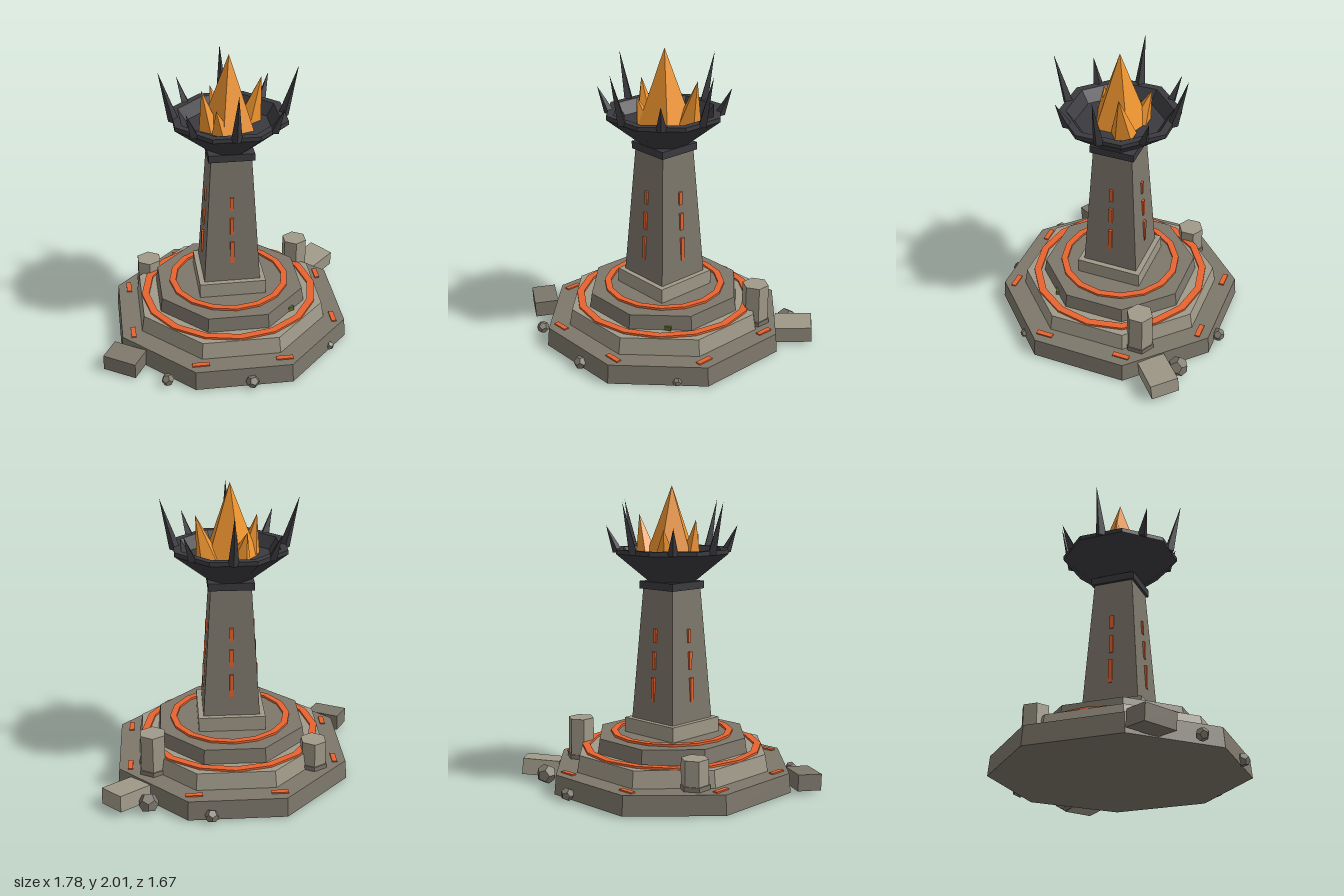
import * as THREE from 'three';

const material = (color) => new THREE.MeshStandardMaterial({ color, flatShading: true });

export function createModel() {
  const model = new THREE.Group();
  const stone = material(0x7d776b), paleStone = material(0xa09a89);
  const iron = material(0x3b3a3f), glow = material(0xe8632f);
  const fire = material(0xf0952f), moss = material(0x5f6b32);

  const add = (name, geometry, mat, x = 0, y = 0, z = 0) => {
    const mesh = new THREE.Mesh(geometry, mat);
    mesh.name = name;
    mesh.position.set(x, y, z);
    model.add(mesh);
    return mesh;
  };

  // Regular prism with flat sides facing the axes; sizes are half-widths
  const prism = (name, sides, bottom, top, y0, y1, mat) => {
    const k = 1 / Math.cos(Math.PI / sides);
    const geo = new THREE.CylinderGeometry(top * k, bottom * k, y1 - y0, sides);
    geo.rotateY(Math.PI / sides);
    return add(name, geo, mat, 0.01, (y0 + y1) / 2, 0);
  };

  // Stepped octagonal base
  prism('lowerTier', 8, 0.776, 0.765, 0, 0.13, stone);
  prism('middleTier', 8, 0.63, 0.612, 0.13, 0.242, paleStone);
  prism('upperTier', 8, 0.495, 0.482, 0.242, 0.34, stone);

  // Glowing sixteen-sided rings on the tiers
  const ring = (name, outer, inner, y0, y1) => {
    const profile = [[outer, y0], [outer, y1], [inner, y1], [inner, y0], [outer, y0]];
    add(name, new THREE.LatheGeometry(profile.map((p) => new THREE.Vector2(...p)), 16), glow, 0.01);
  };
  ring('middleRing', 0.61, 0.56, 0.235, 0.256);
  ring('upperRing', 0.414, 0.37, 0.333, 0.355);

  // Glowing dashes on the lower tier, two per main side
  for (const a of [-1, 1]) {
    for (const b of [-1, 1]) {
      add('baseDash', new THREE.BoxGeometry(0.112, 0.02, 0.034), glow, 0.01 + a * 0.277, 0.129, b * 0.69);
      add('baseDash', new THREE.BoxGeometry(0.034, 0.02, 0.112), glow, 0.01 + a * 0.69, 0.129, b * 0.277);
    }
  }

  // Square plinth, tapering tower and iron collar
  prism('plinth', 4, 0.225, 0.225, 0.34, 0.44, paleStone);
  prism('tower', 4, 0.19, 0.135, 0.44, 1.32, stone);
  prism('collar', 4, 0.152, 0.152, 1.32, 1.37, iron);

  // Glowing slits on the four tower faces
  const slits = [[0.575, 0.735], [0.79, 0.91], [0.97, 1.06]];
  for (let side = 0; side < 4; side++) {
    for (const [y0, y1] of slits) {
      const y = (y0 + y1) / 2;
      const d = 0.19 - 0.0625 * (y - 0.44);
      const angle = side * Math.PI / 2;
      const slit = add('towerSlit', new THREE.BoxGeometry(0.026, y1 - y0, 0.022), glow,
        0.01 + d * Math.sin(angle), y, d * Math.cos(angle));
      slit.rotation.y = angle;
    }
  }

  // Hollow octagonal fire bowl
  const bowlProfile = [[0, 1.37], [0.16, 1.37], [0.395, 1.56], [0.395, 1.588],
    [0.345, 1.588], [0.29, 1.51], [0, 1.51]].map((p) => new THREE.Vector2(...p));
  add('fireBowl', new THREE.LatheGeometry(bowlProfile, 8).rotateY(Math.PI / 8), iron, 0.01);

  // Four-sided cone standing on y = 0 whose tip is shifted sideways
  const leaningCone = (radius, height, sides, leanX, leanZ = 0) => {
    const geo = new THREE.ConeGeometry(radius, height, sides).translate(0, height / 2, 0);
    const p = geo.attributes.position;
    for (let i = 0; i < p.count; i++) {
      const t = p.getY(i) / height;
      p.setX(i, p.getX(i) + leanX * t);
      p.setZ(i, p.getZ(i) + leanZ * t);
    }
    return geo;
  };

  // Crown of spikes, alternating tall and short
  for (let i = 0; i < 8; i++) {
    const angle = i * Math.PI / 4;
    const geo = leaningCone(0.037, i % 2 ? 0.18 : 0.34, 4, i % 2 ? 0.08 : 0.095);
    const spike = add('spike', geo, iron, 0.01 + 0.355 * Math.cos(angle), 1.56, -0.355 * Math.sin(angle));
    spike.rotation.y = angle;
  }

  // Fire: a tall central flame with smaller leaning shards around it
  add('mainFlame', new THREE.ConeGeometry(0.185, 0.49, 5).rotateY(-Math.PI / 2), fire, 0.01, 1.755, 0);
  const shards = [ // x, z, radius, tip height, lean x, lean z
    [-0.12, 0.04, 0.075, 1.78, -0.05, 0.0],
    [0.15, -0.08, 0.085, 1.81, 0.085, -0.0],
    [-0.04, -0.11, 0.08, 1.72, -0.05, -0.07],
    [-0.05, 0.11, 0.07, 1.68, -0.04, 0.04],
  ];
  for (const [x, z, r, top, lx, lz] of shards) {
    add('flameShard', leaningCone(r, top - 1.51, 5, lx, lz), fire, x, 1.51, z);
  }

  // Broken hexagonal pillars at the back corners
  for (const [x, top] of [[-0.525, 0.325], [0.545, 0.41]]) {
    add('pillarFoot', new THREE.CylinderGeometry(0.1, 0.1, 0.03, 6), stone, x, 0.145, -0.35);
    add('brokenPillar', new THREE.CylinderGeometry(0.09, 0.092, top - 0.13, 6), paleStone, x, (top + 0.13) / 2, -0.35);
  }

  // Fallen blocks
  const backBlock = add('fallenBlock', new THREE.BoxGeometry(0.25, 0.11, 0.19), paleStone, 0.725, 0.073, -0.55);
  backBlock.rotation.set(0.08, 0.72, 0.08, 'YXZ');
  const frontBlock = add('fallenBlock', new THREE.BoxGeometry(0.235, 0.11, 0.165), stone, -0.75, 0.062, 0.475);
  frontBlock.rotation.set(0.04, -0.53, -0.03, 'YXZ');

  // Scattered rubble
  const rubble = [ // x, z, radius
    [0.58, -0.64, 0.068], [0.18, -0.795, 0.045], [-0.485, 0.69, 0.042],
    [0.06, 0.785, 0.045], [0.645, 0.46, 0.03],
  ];
  rubble.forEach(([x, z, r], i) => {
    const rock = add('rubble', new THREE.DodecahedronGeometry(r), stone, x, r * 0.85, z);
    rock.rotation.set(i * 0.9, i * 1.7, i * 0.6);
  });
  const chip = add('mossyChip', new THREE.BoxGeometry(0.045, 0.03, 0.02), moss, 0.395, 0.255, 0.315);
  chip.rotation.y = 0.4;

  return model;
}
